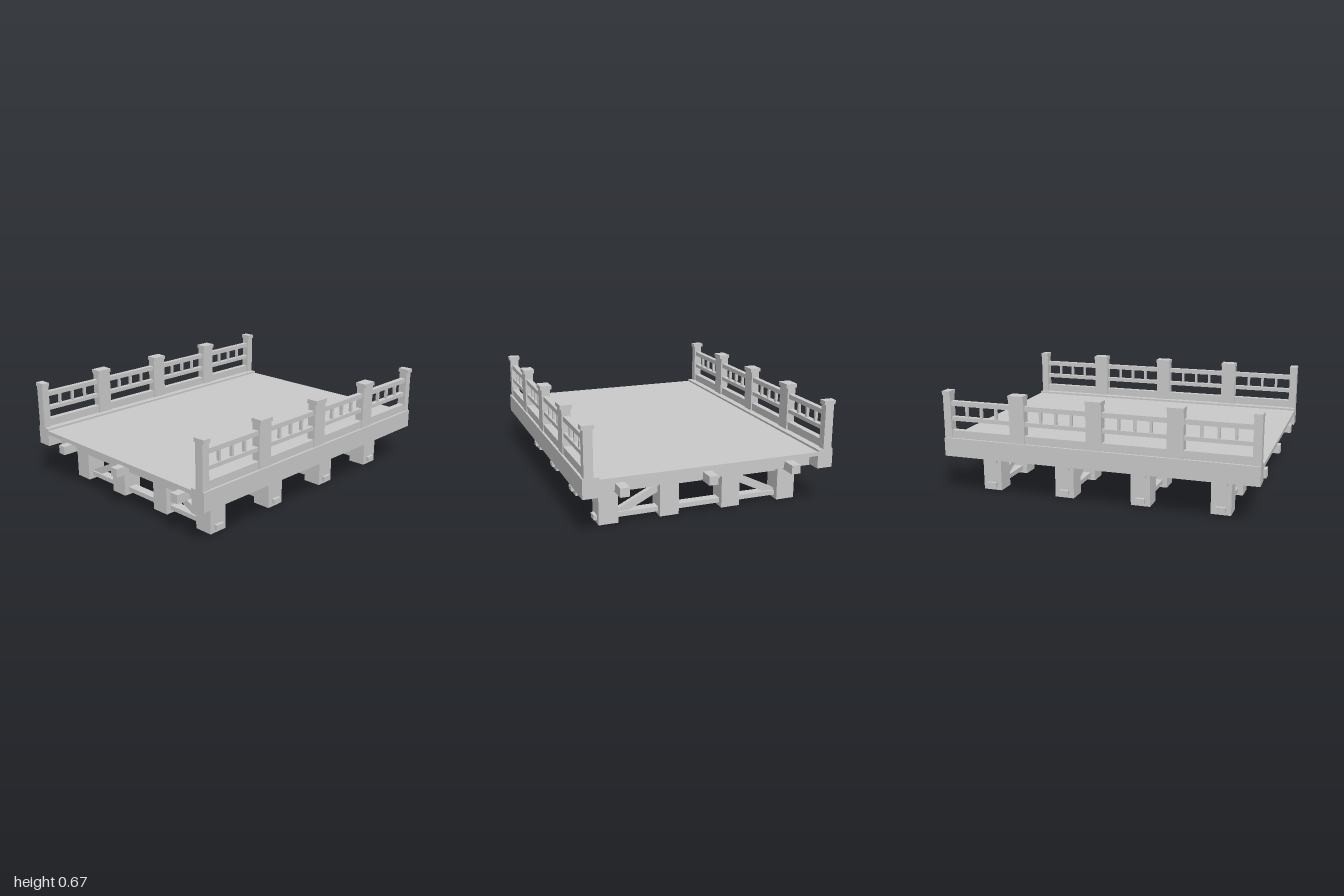
import * as THREE from 'three';

const material = new THREE.MeshStandardMaterial({ color: 0xcccccc, flatShading: true });

// Box given by its extents along each axis
function box(parent, name, [x0, x1], [y0, y1], [z0, z1]) {
  const mesh = new THREE.Mesh(new THREE.BoxGeometry(x1 - x0, y1 - y0, z1 - z0), material);
  mesh.position.set((x0 + x1) / 2, (y0 + y1) / 2, (z0 + z1) / 2);
  mesh.name = name;
  parent.add(mesh);
  return mesh;
}

const around = (c, width) => [c - width / 2, c + width / 2];

// Girder and railing along one side (side = 1 or -1)
function createRailing(side) {
  const group = new THREE.Group();
  group.name = side > 0 ? 'leftRailing' : 'rightRailing';
  const sx = (a, b) => (side > 0 ? [a, b] : [-b, -a]);

  box(group, 'sideGirder', sx(0.685, 0.785), [0.257, 0.375], [-1, 1]);

  // Posts with caps; the end posts are half as deep
  for (let i = -2; i <= 2; i++) {
    const z = i * 0.5;
    const range = [Math.max(z - 0.05, -1), Math.min(z + 0.05, 1)];
    box(group, 'railingPost', sx(0.72, 0.775), [0.375, 0.65], range);
    box(group, 'postCap', sx(0.71, 0.785), [0.65, 0.675], range);
  }

  // Rails and small balusters in each bay
  for (let bay = 0; bay < 4; bay++) {
    const z = -0.75 + bay * 0.5;
    const span = around(z, 0.4);
    box(group, 'bottomRail', sx(0.73, 0.77), [0.375, 0.425], span);
    box(group, 'middleRail', sx(0.73, 0.765), [0.485, 0.51], span);
    box(group, 'topRail', sx(0.73, 0.765), [0.58, 0.61], span);
    for (const dz of [-0.1, 0, 0.1]) {
      box(group, 'baluster', sx(0.74, 0.758), [0.51, 0.58], around(z + dz, 0.016));
    }
  }
  return group;
}

// Trestle frame: four legs, two cross beams and two diagonal braces
function createTrestle(z) {
  const group = new THREE.Group();
  group.name = 'trestle';
  for (const x of [-0.58, -0.2, 0.2, 0.58]) {
    box(group, 'leg', around(x, 0.12), [0.01, 0.243], around(z, 0.124));
  }
  box(group, 'capBeam', [-0.66, 0.66], [0.195, 0.25], around(z, 0.075));
  box(group, 'lowerBeam', [-0.66, 0.66], [0.032, 0.062], around(z, 0.06));

  for (const side of [-1, 1]) {
    const outer = new THREE.Vector2(side * 0.573, 0.022);
    const inner = new THREE.Vector2(side * 0.2, 0.205);
    const along = inner.clone().sub(outer);
    const brace = box(group, 'diagonalBrace', around(0, along.length()), around(0, 0.045), around(0, 0.035));
    brace.position.set((outer.x + inner.x) / 2, (outer.y + inner.y) / 2, z);
    brace.rotation.z = along.angle();
  }
  return group;
}

export function createModel() {
  const model = new THREE.Group();
  model.name = 'bridgeSection';

  box(model, 'deck', [-0.69, 0.69], [0.337, 0.362], [-1, 1]);
  model.add(createRailing(1), createRailing(-1));

  // Lengthwise stringers
  for (const x of [-0.54, 0, 0.54]) {
    box(model, 'stringer', around(x, 0.057), [0.24, 0.295], [-1, 1]);
  }

  // Crosswise joists in pairs either side of each trestle
  for (const z of [-0.75, -0.25, 0.25, 0.75]) {
    for (const dz of [-0.128, 0.128]) {
      box(model, 'crossJoist', [-0.7, 0.7], [0.25, 0.305], around(z + dz, 0.054));
    }
    model.add(createTrestle(z));
  }
  return model;
}
